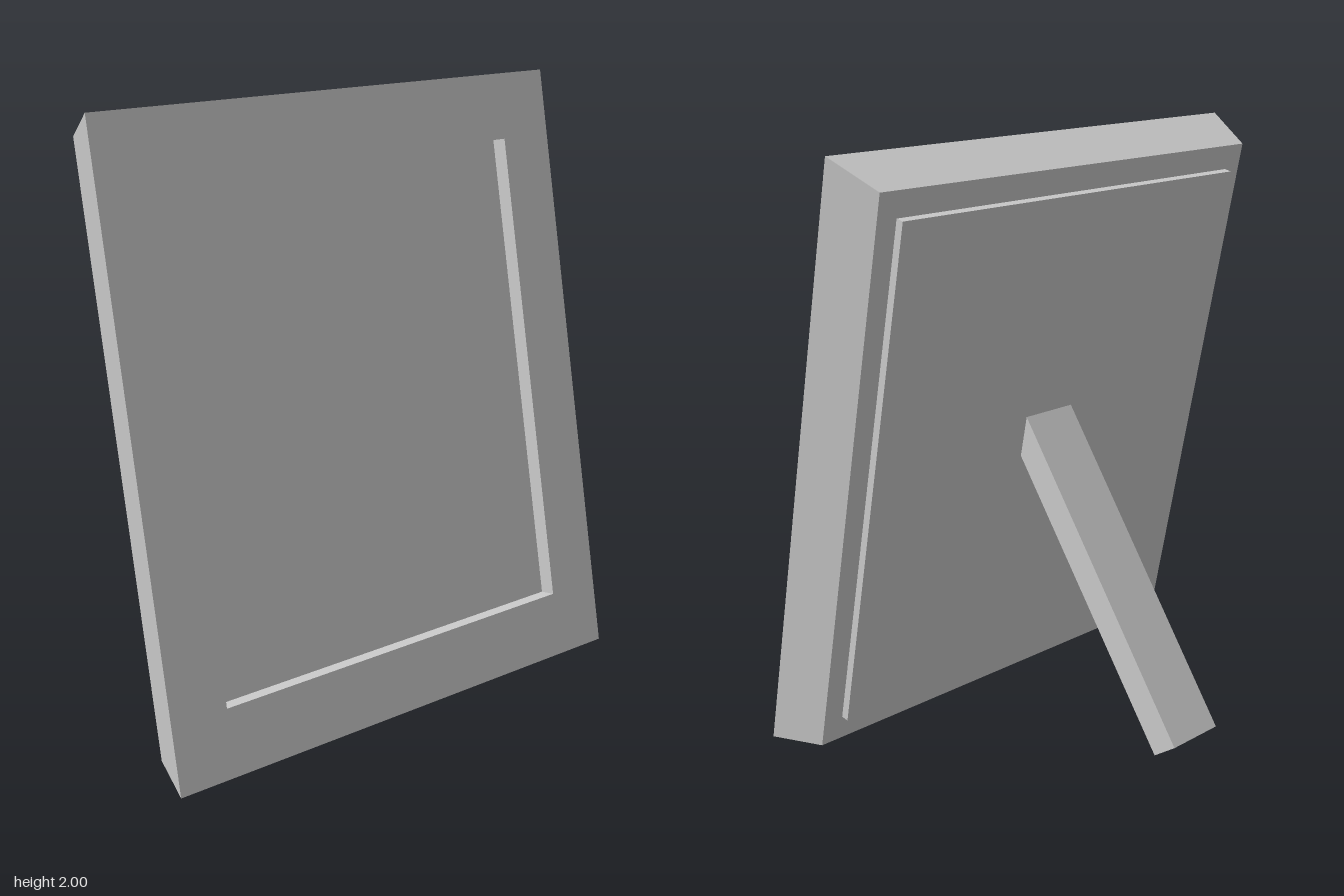
import * as THREE from 'three';

const TILT = Math.atan(0.42 / 2); // backward lean of the frame
const HEIGHT = 2.043; // frame height along its slope

// Skin through rectangular rings [half width, margin at top and bottom, depth]
function ringSurface(rings) {
  const corners = rings.map(([w, m, z]) => [
    [-w, m, z], [w, m, z], [w, HEIGHT - m, z], [-w, HEIGHT - m, z],
  ]);
  const points = [];
  const quad = (a, b, c, d) => points.push(...a, ...b, ...c, ...a, ...c, ...d);
  for (let r = 0; r < corners.length - 1; r++) {
    const a = corners[r], b = corners[r + 1];
    for (let i = 0; i < 4; i++) {
      const j = (i + 1) % 4;
      quad(a[i], a[j], b[j], b[i]);
    }
  }
  // rear cap
  const [p, q, s, t] = corners[0];
  quad(t, s, q, p);
  const geometry = new THREE.BufferGeometry();
  geometry.setAttribute('position', new THREE.Float32BufferAttribute(points, 3));
  geometry.computeVertexNormals();
  return geometry;
}

export function createModel() {
  const model = new THREE.Group();
  model.name = 'pictureFrame';
  const grey = new THREE.MeshStandardMaterial({ color: 0xcccccc });
  grey.name = 'light grey';

  const add = (parent, name, geometry) => {
    const mesh = new THREE.Mesh(geometry, grey);
    mesh.name = name;
    parent.add(mesh);
    return mesh;
  };

  // Leaning body: local z = 0 is the front face
  const body = new THREE.Group();
  body.name = 'leaningBody';
  body.position.z = 0.56;
  body.rotation.x = -TILT;
  model.add(body);

  // Tapered frame with a stepped opening
  add(body, 'frame', ringSurface([
    [0.84, 0.056, -0.19],
    [0.895, 0, 0],
    [0.695, 0.22, 0],
    [0.695, 0.22, -0.056],
  ]));

  // Picture panel at the bottom of the opening
  add(body, 'picture', new THREE.PlaneGeometry(1.39, HEIGHT - 0.44))
    .position.set(0, HEIGHT / 2, -0.056);

  // Backing board
  add(body, 'backingBoard', new THREE.BoxGeometry(1.53, 1.757, 0.037))
    .position.set(0, HEIGHT / 2, -0.1995);

  // Easel leg: side profile (z, y) extruded across x
  const profile = new THREE.Shape([
    [-0.56, 0.06], [-0.475, 0.003], [0.15, 0.92], [0.118, 1.06],
  ].map(([z, y]) => new THREE.Vector2(-z, y)));
  const leg = new THREE.ExtrudeGeometry(profile, { depth: 0.216, bevelEnabled: false });
  leg.translate(0, 0, -0.108);
  leg.rotateY(Math.PI / 2);
  add(model, 'easelLeg', leg);

  return model;
}
